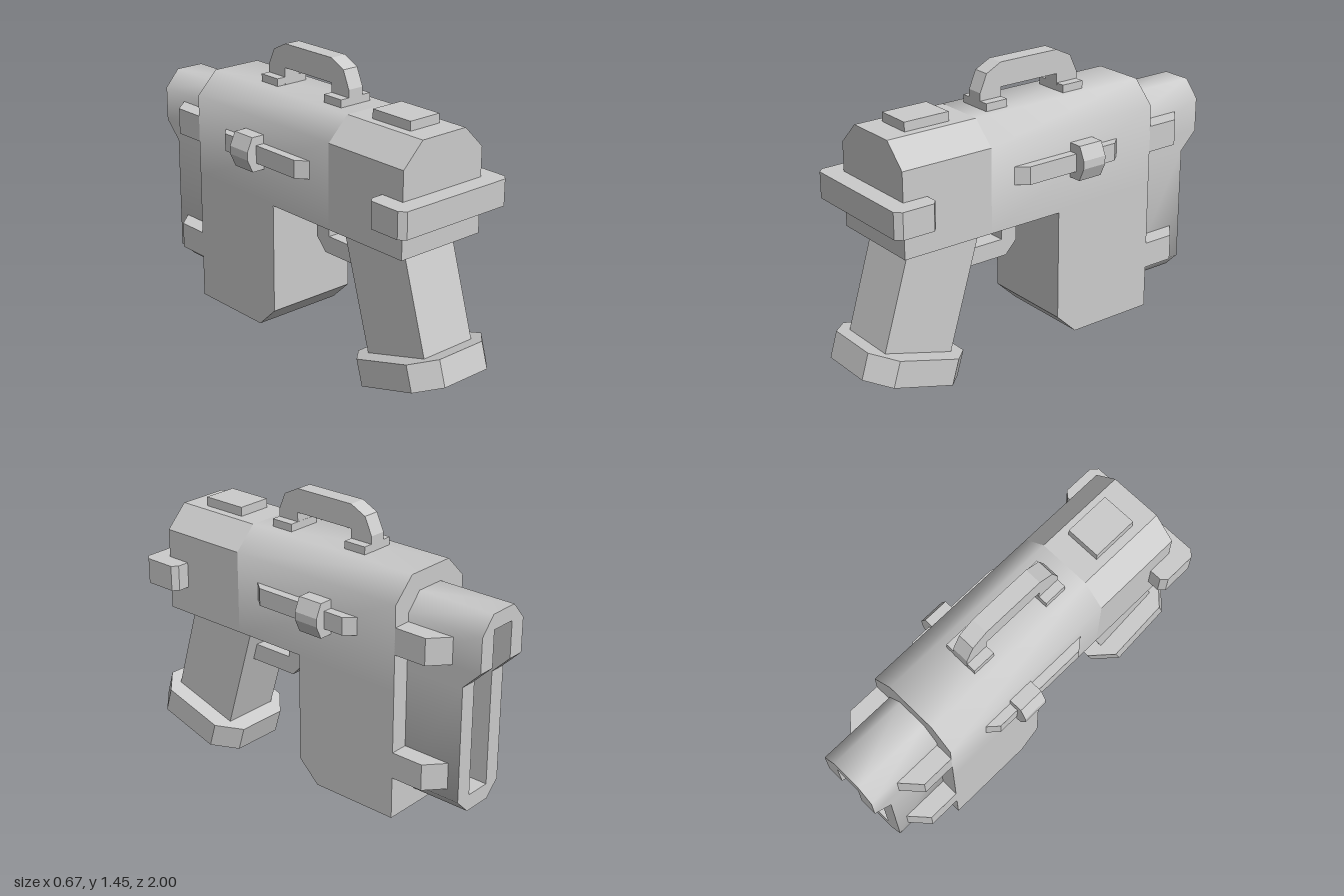
import * as THREE from 'three';
import { toCreasedNormals } from 'three/addons/utils/BufferGeometryUtils.js';

const material = new THREE.MeshStandardMaterial({ color: 0xcccccc });

function extrude(points, depth) {
  const shape = new THREE.Shape(points.map(([a, b]) => new THREE.Vector2(a, b)));
  return new THREE.ExtrudeGeometry(shape, { depth, bevelEnabled: false });
}
// Outline in [x, y], swept from z0 to z1 (z0 < z1)
const alongZ = (pts, z0, z1) => extrude(pts, z1 - z0).translate(0, 0, z0);
// Outline in [z, y], centred on x = 0
const alongX = (pts, half) => extrude(pts, 2 * half).translate(0, 0, -half).rotateY(-Math.PI / 2);
// Outline in [x, z], swept from y0 to y1
const alongY = (pts, y0, y1) =>
  extrude(pts.map(([x, z]) => [x, -z]), y1 - y0).rotateX(-Math.PI / 2).translate(0, y0, 0);

const box = (w, h, d, x, y, z) => new THREE.BoxGeometry(w, h, d).translate(x, y, z);

export function createModel() {
  const model = new THREE.Group();
  const add = (name, geometry, crease = 0.3) => {
    const mesh = new THREE.Mesh(toCreasedNormals(geometry, crease), material);
    mesh.name = name;
    model.add(mesh);
    return mesh;
  };

  // Receiver: crisp chamfers near the grip, softened ones further along
  const section = [[-0.24, 0.735], [0.24, 0.735], [0.24, 1.145], [0.13, 1.255], [-0.13, 1.255], [-0.24, 1.145]];
  add('receiverFront', alongZ(section, 0.35, 0.82));
  add('receiverRear', alongZ(section, -0.605, 0.35), 0.9);
  add('lowerHousing', alongX(
    [[-0.04, 0.735], [-0.04, 0.19], [-0.15, 0.085], [-0.605, 0.085], [-0.605, 0.735]], 0.24));

  // Muzzle shroud: a slotted frame whose upper end reaches further out
  const w = 0.15, s = 0.065;
  add('shroudTop', alongZ(
    [[-w, 0.91], [-s, 0.91], [-s, 1.09], [s, 1.09], [s, 0.91], [w, 0.91],
      [w, 1.08], [0.075, 1.165], [-0.075, 1.165], [-w, 1.08]], -1, -0.6), 0.9);
  add('shroudBottom', alongZ(
    [[-w, 0.82], [-s, 0.82], [-s, 0.25], [s, 0.25], [s, 0.82], [w, 0.82],
      [w, 0.245], [0.075, 0.17], [-0.075, 0.17], [-w, 0.245]], -0.91, -0.6), 0.9);

  for (const side of [-1, 1]) {
    // Sloped step between the two shroud lengths
    const step = box(w - s, 0.09, 0.31, side * (w + s) / 2, 0.865, -0.755);
    const p = step.attributes.position;
    for (let i = 0; i < p.count; i++) {
      if (p.getY(i) > 0.9 && p.getZ(i) < -0.8) p.setZ(i, -1);
    }
    add('shroudStep', step);

    // Clamps holding the shroud
    for (const y of [0.91, 0.295]) {
      add('shroudClamp', alongY(
        [[0.13, -0.6], [0.24, -0.6], [0.24, -0.77], [0.15, -0.85], [0.13, -0.85]].map(([x, z]) => [side * x, z]),
        y, y + 0.13));
    }

    // Side rail and its sliding knob
    add('sideRail', alongY(
      [[0.23, 0.22], [0.24, 0.22], [0.285, 0.165], [0.285, -0.34], [0.24, -0.39], [0.23, -0.39]]
        .map(([x, z]) => [side * x, z]), 0.94, 1.027));
    add('sideKnob', alongZ(
      [[0.23, 0.9], [0.307, 0.9], [0.337, 0.965], [0.337, 1.005], [0.307, 1.07], [0.23, 1.07]]
        .map(([x, y]) => [side * x, y]), -0.235, -0.105));
  }

  // Cross bar wrapped round the grip end
  add('crossBar', alongY(
    [[-0.3, 0.91], [0.3, 0.91], [0.328, 0.88], [0.328, 0.72], [0.3, 0.695],
      [-0.3, 0.695], [-0.328, 0.72], [-0.328, 0.88]], 0.875, 1.003));

  // Top pad and carry handle
  add('topPad', box(0.175, 0.06, 0.235, 0, 1.27, 0.585));
  add('carryHandle', alongX(
    [[0.262, 1.25], [0.262, 1.33], [0.225, 1.415], [0.145, 1.455], [-0.18, 1.455], [-0.262, 1.415],
      [-0.302, 1.33], [-0.302, 1.25], [-0.182, 1.25], [-0.182, 1.338], [0.145, 1.338], [0.145, 1.25]], 0.042));
  for (const z of [0.203, -0.242]) add('handleFoot', box(0.175, 0.045, 0.118, 0, 1.27, z));

  // Grip, base cap and trigger guard
  add('grip', alongX([[0.74, 0.74], [0.35, 0.74], [0.53, 0.14], [0.89, 0.24]], 0.15));
  const cap = add('gripCap', alongY(
    [[-0.135, 0.271], [0.135, 0.271], [0.24, 0.166], [0.24, -0.166], [0.135, -0.271],
      [-0.135, -0.271], [-0.24, -0.166], [-0.24, 0.166]], -0.065, 0.065));
  cap.position.set(0, 0.145, 0.7225);
  cap.rotation.x = -0.29;
  add('triggerGuard', alongX(
    [[0.43, 0.517], [0.15, 0.517], [0.09, 0.58], [0.09, 0.74], [0.175, 0.74], [0.175, 0.603], [0.405, 0.603]], 0.08));

  return model;
}
